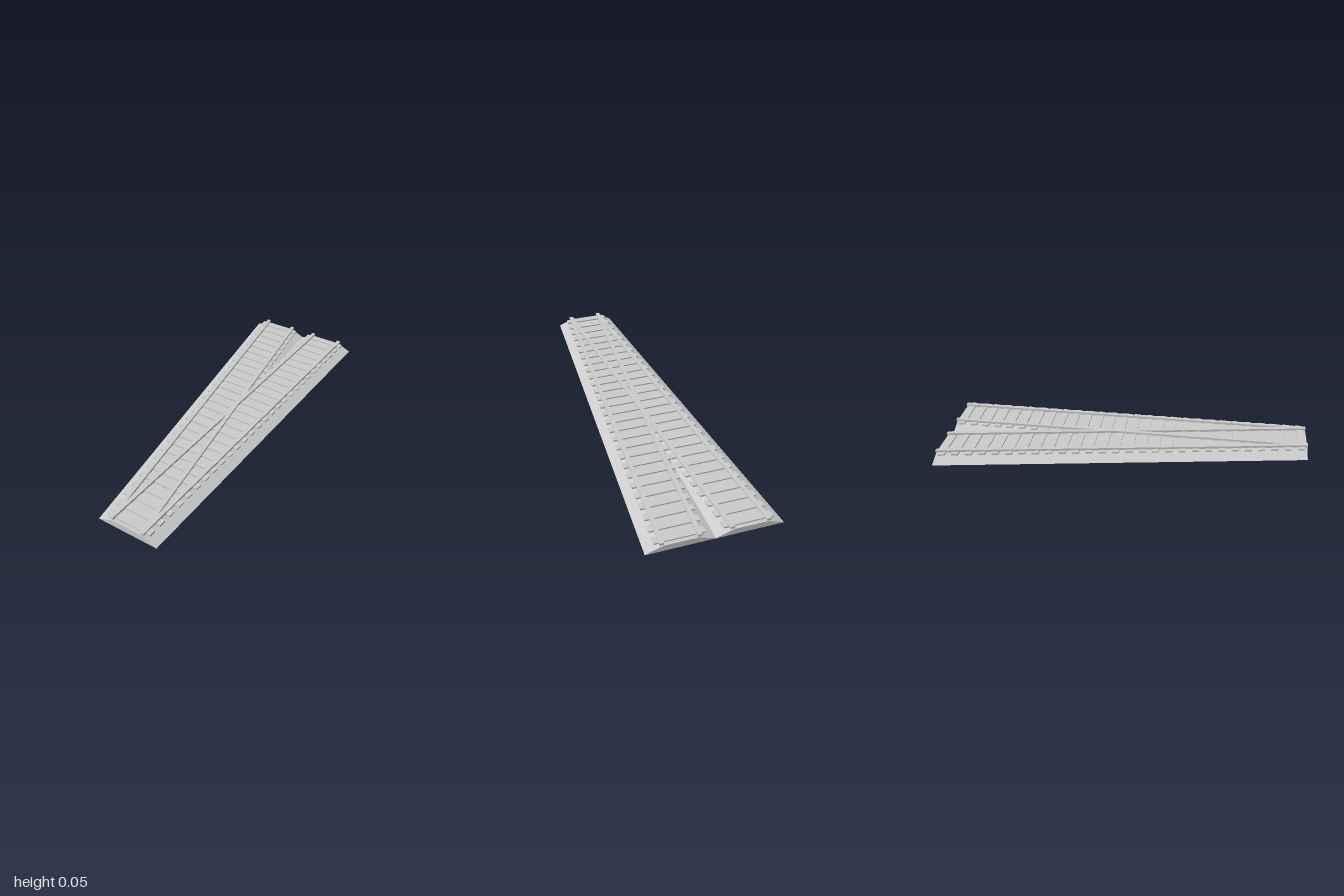
import * as THREE from 'three';

const LENGTH = 2, CENTRE = 1 / 6, SLEEPERS = 28;
const material = new THREE.MeshStandardMaterial({ color: 0xcccccc, flatShading: true, side: THREE.DoubleSide });

// Box spanning y0..y1, centred on x and z
function block(width, y0, y1, depth, x = 0, z = 0) {
  return new THREE.BoxGeometry(width, y1 - y0, depth).translate(x, (y0 + y1) / 2, z);
}

// Ballast bank: a box with its top narrowed to half width and its underside left open
function ballastGeometry() {
  const geometry = block(1 / 3, 0, 0.034, LENGTH);
  const position = geometry.attributes.position;
  for (let i = 0; i < position.count; i++) {
    if (position.getY(i) > 0.01) position.setX(i, position.getX(i) / 2);
  }
  const index = Array.from(geometry.index.array);
  index.splice(18, 6); // bottom face
  geometry.setIndex(index);
  geometry.clearGroups();
  geometry.computeVertexNormals();
  return geometry;
}

// One track with bank, sleepers and rails; slant is the sideways shift per unit of z
function buildTrack(name, slant) {
  const track = new THREE.Group();
  track.name = name;
  const place = new THREE.Matrix4().set(
    1, 0, slant, CENTRE - slant,
    0, 1, 0, 0,
    0, 0, 1, 0,
    0, 0, 0, 1);
  const add = (part, geometry) => {
    const mesh = new THREE.Mesh(geometry.applyMatrix4(place), material);
    mesh.name = part;
    track.add(mesh);
  };

  add('ballast', ballastGeometry());

  // Sleepers, half a pitch wide
  const pitch = LENGTH / SLEEPERS;
  for (let i = 0; i < SLEEPERS; i++) {
    add('sleeper', block(0.242, 0.032, 0.0415, pitch / 2, 0, -1 + pitch * (i + 0.5)));
  }

  // Rails
  for (const side of [-1, 1]) {
    add(side < 0 ? 'rightRail' : 'leftRail', block(0.021, 0.039, 0.052, LENGTH, side * 0.0885));
  }
  return track;
}

export function createModel() {
  const model = new THREE.Group();
  model.name = 'railwaySwitch';
  model.add(buildTrack('straightTrack', 0));
  model.add(buildTrack('divergingTrack', 1 / 6));
  return model;
}
